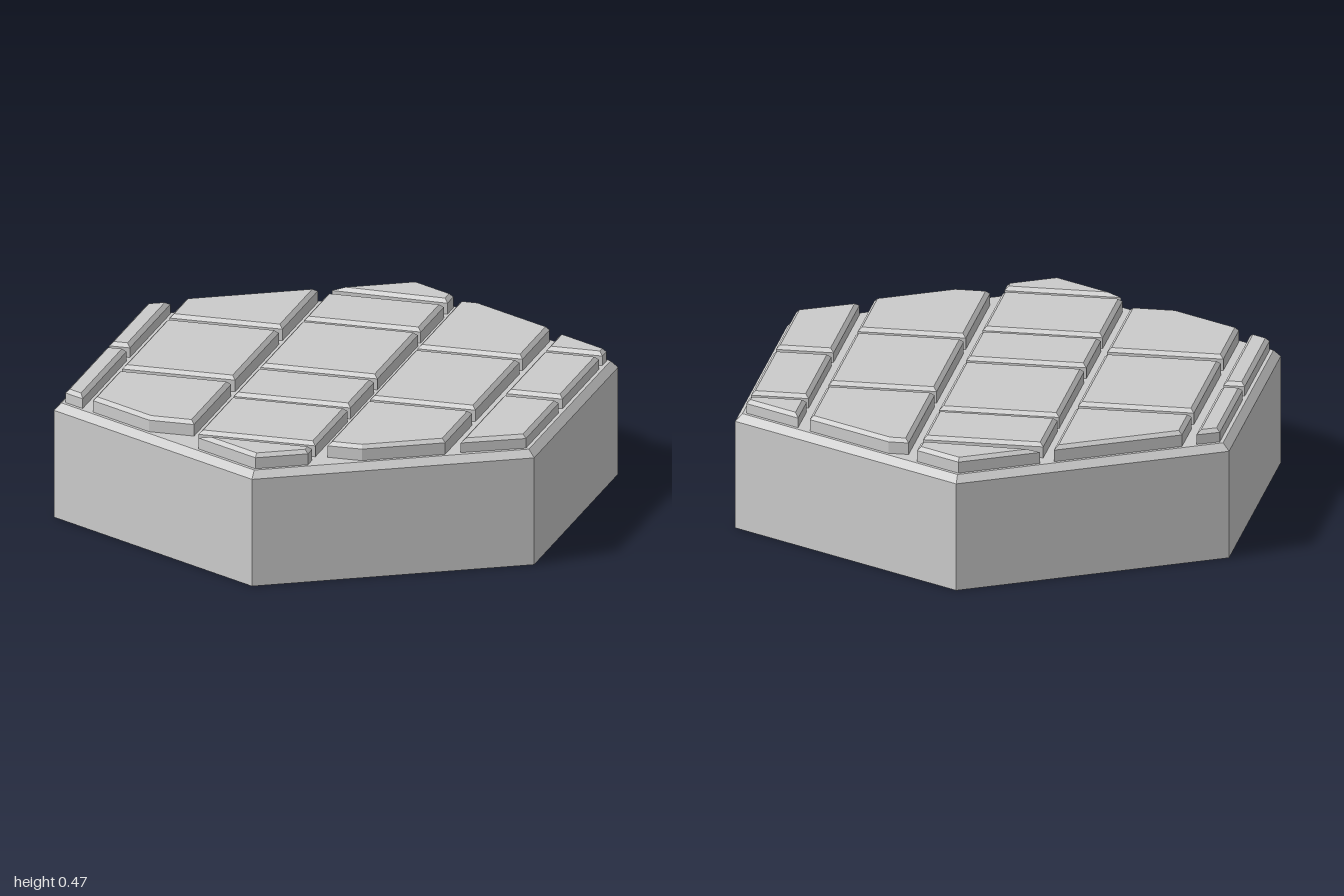
import * as THREE from 'three';

const GREY = new THREE.MeshStandardMaterial({ color: 0xcccccc, flatShading: true });
const C = Math.cos(Math.PI / 6), S = 0.5;
const LIMIT = 0.83;                 // apothem of the hexagon the paving is trimmed to
const FLOOR = 0.4, CHAMFER = 0.013;

// Paving rows: [v start, v end, top height, [u start, u end] of each stone]
const ROWS = [
  [-1, -0.755, 0.463, [[-1, 0], [0.04, 0.52]]],
  [-0.71, -0.303, 0.47, [[-0.69, -0.247], [-0.2, 0.32], [0.362, 1]]],
  [-0.26, 0.161, 0.468, [[-1, -0.815], [-0.778, -0.395], [-0.36, -0.08], [-0.04, 0.442], [0.477, 0.751], [0.795, 1]]],
  [0.203, 0.582, 0.47, [[-0.77, -0.302], [-0.263, 0.26], [0.299, 0.8]]],
  [0.628, 1, 0.463, [[-0.59, -0.09], [-0.045, 0.391], [0.43, 1]]],
];

// Cut a convex polygon to the half-plane n.p <= d
function clip(poly, nx, ny, d) {
  const out = [];
  poly.forEach((a, i) => {
    const b = poly[(i + 1) % poly.length];
    const da = a[0] * nx + a[1] * ny - d, db = b[0] * nx + b[1] * ny - d;
    if (da <= 0) out.push(a);
    if (da * db < 0) {
      const t = da / (da - db);
      out.push([a[0] + (b[0] - a[0]) * t, a[1] + (b[1] - a[1]) * t]);
    }
  });
  return out;
}

// Move every edge of a convex polygon inward by d
function inset(poly, d) {
  const n = poly.length;
  const lines = poly.map((a, i) => {
    const b = poly[(i + 1) % n], l = Math.hypot(b[0] - a[0], b[1] - a[1]);
    const nx = (b[1] - a[1]) / l, ny = (a[0] - b[0]) / l;
    return [nx, ny, nx * a[0] + ny * a[1] - d];
  });
  return lines.map((q, i) => {
    const p = lines[(i + n - 1) % n], det = p[0] * q[1] - p[1] * q[0];
    return [(p[2] * q[1] - p[1] * q[2]) / det, (p[0] * q[2] - p[2] * q[0]) / det];
  });
}

// Chamfered stone from three stacked cross-sections
function stoneGeometry(poly, top) {
  const loop = (pts, y) => pts.map(([u, v]) => [C * u + S * v, y, -S * u + C * v]);
  const loops = [loop(poly, FLOOR), loop(poly, top - CHAMFER), loop(inset(poly, CHAMFER), top)];
  const pos = [], n = poly.length;
  for (let k = 0; k < 2; k++) {
    for (let i = 0; i < n; i++) {
      const j = (i + 1) % n, lo = loops[k], hi = loops[k + 1];
      pos.push(...lo[i], ...hi[i], ...lo[j], ...lo[j], ...hi[i], ...hi[j]);
    }
  }
  for (let i = 1; i < n - 1; i++) {
    pos.push(...loops[2][0], ...loops[2][i + 1], ...loops[2][i]);
    pos.push(...loops[0][0], ...loops[0][i], ...loops[0][i + 1]);
  }
  const g = new THREE.BufferGeometry();
  g.setAttribute('position', new THREE.Float32BufferAttribute(pos, 3));
  g.computeVertexNormals();
  return g;
}

export function createModel() {
  const model = new THREE.Group();
  model.name = 'pavedHexTile';

  // Hexagonal base with a chamfered upper rim
  const profile = [[0, 0], [1, 0], [1, 0.39], [0.973, 0.415], [0, 0.415]];
  const base = new THREE.Mesh(
    new THREE.LatheGeometry(profile.map(([r, y]) => new THREE.Vector2(r, y)), 6), GREY);
  base.name = 'hexBase';
  model.add(base);

  // Paving stones, trimmed to the hexagon
  const paving = new THREE.Group();
  paving.name = 'paving';
  ROWS.forEach(([v0, v1, top, spans], r) => spans.forEach(([u0, u1], s) => {
    let poly = [[u0, v0], [u1, v0], [u1, v1], [u0, v1]];
    for (let k = 0; k < 6; k++) {
      const a = Math.PI / 6 + k * Math.PI / 3;
      poly = clip(poly, Math.cos(a), Math.sin(a), LIMIT);
    }
    // Drop slivers left by trimming
    poly = poly.filter((p, i) => {
      const q = poly[(i + 1) % poly.length];
      return Math.hypot(p[0] - q[0], p[1] - q[1]) > 0.015;
    });
    const stone = new THREE.Mesh(stoneGeometry(poly, top), GREY);
    stone.name = `pavingStone${r + 1}_${s + 1}`;
    paving.add(stone);
  }));
  model.add(paving);
  return model;
}
